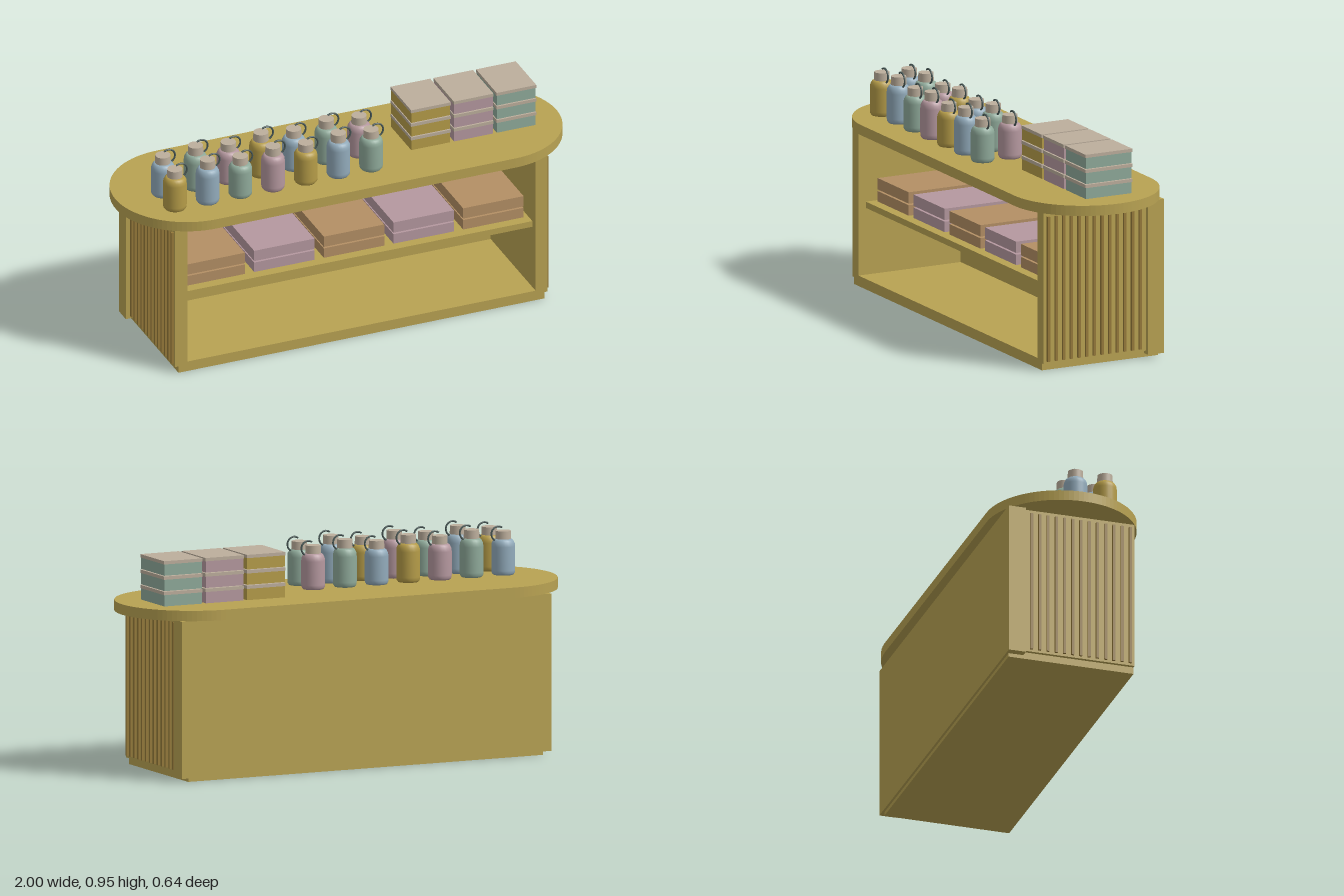
import * as THREE from 'three';

const material = (name, color, extra = {}) => {
  const m = new THREE.MeshStandardMaterial({ color, ...extra });
  m.name = name;
  return m;
};

export function createModel() {
  const wood = material('ochre wood', 0xb8a252);
  const slatWood = material('dark slat wood', 0x967a3a);
  const mustard = material('mustard', 0xb59c48);
  const blue = material('dusty blue', 0x92abbb);
  const green = material('sage green', 0x8faa9a);
  const pink = material('dusty pink', 0xb5989f);
  const cream = material('cream lid', 0xbcae9c);
  const brown = material('box brown', 0xb38f64);
  const dark = material('dark handle', 0x4a5a58);

  const root = new THREE.Group();
  root.name = 'shopCounter';
  const add = (parent, name, geometry, mat) => {
    const mesh = new THREE.Mesh(geometry, mat);
    mesh.name = name;
    parent.add(mesh);
    return mesh;
  };
  // Box given by its lower and upper limits on each axis
  const box = (parent, name, mat, x0, x1, y0, y1, z0, z1) => {
    const mesh = add(parent, name, new THREE.BoxGeometry(x1 - x0, y1 - y0, z1 - z0), mat);
    mesh.position.set((x0 + x1) / 2, (y0 + y1) / 2, (z0 + z1) / 2);
    return mesh;
  };

  // Rounded counter top
  const r = 0.322, c = 1 - r;
  const outline = new THREE.Shape();
  outline.moveTo(-c, -r);
  outline.lineTo(c, -r);
  outline.absarc(c, 0, r, -Math.PI / 2, Math.PI / 2, false);
  outline.lineTo(-c, r);
  outline.absarc(-c, 0, r, Math.PI / 2, Math.PI * 1.5, false);
  const topGeometry = new THREE.ExtrudeGeometry(outline, { depth: 0.044, bevelEnabled: false, curveSegments: 24 });
  topGeometry.rotateX(-Math.PI / 2);
  add(root, 'counterTop', topGeometry, wood).position.y = 0.681;

  // Open cabinet
  const cabinet = new THREE.Group();
  cabinet.name = 'cabinet';
  root.add(cabinet);
  box(cabinet, 'plinth', wood, -0.83, 0.83, 0, 0.03, -0.275, 0.275);
  box(cabinet, 'floor', wood, -0.79, 0.79, 0.03, 0.045, -0.21, 0.275);
  box(cabinet, 'backPanel', wood, -0.865, 0.865, 0.016, 0.681, -0.285, -0.21);
  box(cabinet, 'shelf', wood, -0.79, 0.79, 0.333, 0.36, -0.21, 0.24);

  // Side panels with vertical slats
  for (const side of [-1, 1]) {
    const panel = box(cabinet, side > 0 ? 'leftSide' : 'rightSide', wood, -0.0275, 0.0275, 0.03, 0.681, -0.21, 0.275);
    panel.position.x = side * 0.8175;
    for (let i = 0; i < 13; i++) {
      const z = 0.255 - i * 0.0363;
      const slat = box(cabinet, 'slat', slatWood, -0.005, 0.005, 0.04, 0.665, z - 0.006, z + 0.006);
      slat.position.x = side * 0.85;
    }
  }

  // Stacked flat boxes on the shelf
  for (let i = 0; i < 5; i++) {
    const x = (i - 2) * 0.316;
    const mat = i % 2 ? pink : brown;
    box(root, 'shelfBoxLower', mat, x - 0.137, x + 0.137, 0.36, 0.405, -0.165, 0.195);
    box(root, 'shelfBoxUpper', mat, x - 0.137, x + 0.137, 0.412, 0.461, -0.165, 0.195);
  }

  // Lidded boxes on the counter
  [mustard, pink, green].forEach((mat, i) => {
    const x = 0.393 + i * 0.194;
    for (let k = 0; k < 3; k++) {
      const y = 0.725 + k * 0.065;
      box(root, 'giftBox', mat, x - 0.088, x + 0.088, y, y + 0.048, -0.13, 0.087);
      box(root, 'giftBoxLid', cream, x - 0.09, x + 0.09, y + 0.048, y + 0.062, -0.132, 0.09);
    }
  });

  // Bottles with caps and hooked handles
  const lathe = (points) => new THREE.LatheGeometry(points.map(([x, y]) => new THREE.Vector2(x, y)), 24);
  const bodyGeometry = lathe([[0, 0], [0.043, 0], [0.049, 0.008], [0.05, 0.02], [0.05, 0.12], [0.048, 0.134], [0.042, 0.145], [0.034, 0.151], [0, 0.151]]);
  const handleGeometry = new THREE.TorusGeometry(0.031, 0.004, 8, 18, Math.PI * 1.25);
  handleGeometry.rotateZ(-Math.PI * 0.55);
  const palette = [mustard, blue, green, pink];
  for (let row = 0; row < 2; row++) {
    for (let i = 0; i < 7; i++) {
      const bottle = new THREE.Group();
      bottle.name = 'bottle';
      bottle.position.set(-0.798 + i * 0.1483, 0.725, row ? 0.03 : 0.16);
      root.add(bottle);
      const tall = i % 2 ? 0.015 : 0;
      const body = add(bottle, 'bottleBody', bodyGeometry, palette[(i + row) % 4]);
      body.scale.y = 1 + tall / 0.18;
      const cap = add(bottle, 'bottleCap', new THREE.CylinderGeometry(0.032, 0.033, 0.036, 24), cream);
      cap.position.y = 0.167 + tall;
      const handle = add(bottle, 'bottleHandle', handleGeometry, dark);
      handle.position.set(0.024, 0.173 + tall, 0);
    }
  }
  return root;
}
